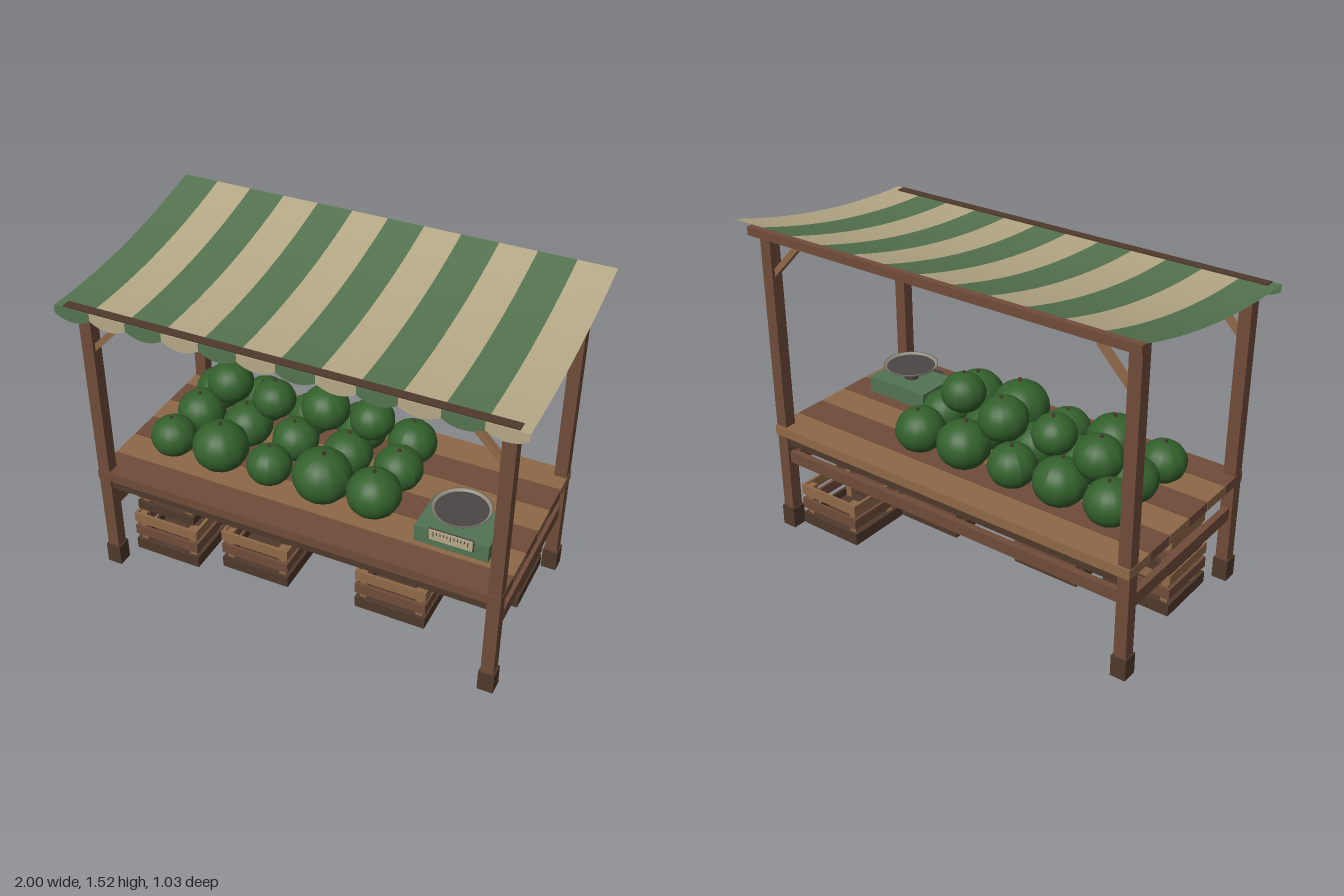
import * as THREE from 'three';

const mat = (name, color, side = THREE.FrontSide) => {
  const m = new THREE.MeshStandardMaterial({ color, side });
  m.name = name;
  return m;
};

export function createModel() {
  const wood = mat('wood', 0x704c39);
  const lightWood = mat('lightWood', 0x8f6847);
  const darkWood = mat('darkWood', 0x4f392c);
  const canvasGreen = mat('canvasGreen', 0x54734f, THREE.DoubleSide);
  const canvasCream = mat('canvasCream', 0xb5a886, THREE.DoubleSide);
  const rind = mat('rind', 0x33602c);
  const scaleGreen = mat('scaleGreen', 0x527353);
  const metal = mat('metal', 0x8f897c, THREE.DoubleSide);
  const darkMetal = mat('darkMetal', 0x4b4646);

  const model = new THREE.Group();
  model.name = 'marketStall';
  const add = (name, geo, material, x = 0, y = 0, z = 0, parent = model) => {
    const m = new THREE.Mesh(geo, material);
    m.name = name;
    m.position.set(x, y, z);
    parent.add(m);
    return m;
  };
  // Box given by its size, bottom height and centre in x and z
  const box = (name, material, w, h, d, x, y, z, parent) =>
    add(name, new THREE.BoxGeometry(w, h, d), material, x, y + h / 2, z, parent);

  // Posts, feet, braces and side rails
  for (const s of [-1, 1]) {
    for (const [z, top] of [[0.42, 1.355], [-0.415, 1.46]]) {
      box('post', wood, 0.056, top, 0.056, s * 0.91, 0, z);
      box('foot', darkWood, 0.07, 0.1, 0.07, s * 0.91, 0, z);
      const brace = add('brace', new THREE.BoxGeometry(0.026, 0.21, 0.026), lightWood, s * 0.82, top - 0.118, z);
      brace.rotation.z = -s * -0.77;
    }
    box('sideRail', wood, 0.03, 0.06, 0.79, s * 0.91, 0.31, 0);
  }

  // Long beams, aprons and back rail
  box('frontBeam', darkWood, 1.92, 0.038, 0.042, 0, 1.352, 0.484);
  box('backBeam', wood, 1.92, 0.038, 0.042, 0, 1.449, -0.468);
  box('frontApron', darkWood, 1.77, 0.05, 0.03, 0, 0.436, 0.42);
  box('backApron', darkWood, 1.77, 0.05, 0.03, 0, 0.436, -0.415);
  box('backRail', wood, 1.77, 0.055, 0.03, 0, 0.345, -0.415);

  // Counter planks
  for (let i = 0; i < 6; i++) {
    box('counterPlank', i % 2 ? lightWood : wood, 1.88, 0.045, 0.147, 0, 0.485, 0.379 - i * 0.1516);
  }

  // Sagging striped canopy with a scalloped valance
  const stripe = 1 / 6;
  for (let i = 0; i < 12; i++) {
    const material = i % 2 ? canvasCream : canvasGreen;
    const x = -1 + (i + 0.5) * stripe;
    const sheet = new THREE.PlaneGeometry(stripe, 1.03, 1, 14);
    sheet.rotateX(-Math.PI / 2);
    const p = sheet.attributes.position;
    for (let k = 0; k < p.count; k++) {
      const t = p.getZ(k) / 1.03 + 0.5;
      p.setY(k, 1.52 - 0.135 * t - 0.16 * t * (1 - t));
    }
    sheet.computeVertexNormals();
    add('canopyStripe', sheet, material, x, 0, -0.005);

    const flap = new THREE.Shape();
    flap.moveTo(-stripe / 2, 0);
    flap.lineTo(-stripe / 2, -0.035);
    flap.quadraticCurveTo(0, -0.087, stripe / 2, -0.035);
    flap.lineTo(stripe / 2, 0);
    add('valanceFlap', new THREE.ShapeGeometry(flap, 10), material, x, 1.385, 0.51);
  }

  // Slatted crates, open at the top
  const crate = (x, y, z, w, d, h) => {
    const g = new THREE.Group();
    g.name = 'crate';
    g.position.set(x, y, z);
    model.add(g);
    const t = 0.014;
    box('crateFloor', darkWood, w - 0.004, 0.02 * h, d - 0.004, 0, 0, 0, g);
    [[0.008, darkWood], [0.087, wood], [0.16, lightWood]].forEach(([b, m]) => {
      for (const s of [-1, 1]) {
        box('crateSlat', m, w, 0.05 * h, t, 0, b * h, s * (d - t) / 2, g);
        box('crateSlat', m, t, 0.05 * h, d - 2 * t, s * (w - t) / 2, b * h, 0, g);
      }
    });
    for (const sx of [-1, 1]) for (const sz of [-1, 1]) {
      box('crateCorner', lightWood, 0.034, 0.2 * h, 0.034, sx * (w / 2 - 0.034), 0.005, sz * (d / 2 - 0.034), g);
    }
  };
  crate(-0.705, 0, 0.165, 0.33, 0.31, 1);
  crate(-0.72, 0.212, 0.145, 0.295, 0.28, 0.8);
  crate(-0.277, 0, 0.105, 0.335, 0.31, 1);
  crate(0.38, 0, 0.085, 0.335, 0.3, 1);
  crate(0.705, 0, -0.228, 0.33, 0.32, 1);

  // Ribbed melons: three rows on the counter and one row on top
  const melonGeo = new THREE.SphereGeometry(1, 40, 20);
  const mp = melonGeo.attributes.position;
  for (let k = 0; k < mp.count; k++) {
    const a = Math.atan2(mp.getZ(k), mp.getX(k));
    const f = 1 + 0.012 * Math.cos(a * 10);
    mp.setXYZ(k, mp.getX(k) * f, mp.getY(k) * 0.91, mp.getZ(k) * f);
  }
  melonGeo.computeVertexNormals();
  const stemGeo = new THREE.CylinderGeometry(0.05, 0.08, 0.16, 6);
  const melon = (x, y, z, r, turn) => {
    const g = new THREE.Group();
    g.name = 'melon';
    g.position.set(x, y, z);
    g.scale.setScalar(r);
    g.rotation.set(0.06 * Math.sin(turn * 3), turn, 0.08 * Math.cos(turn * 2));
    model.add(g);
    add('melonRind', melonGeo, rind, 0, 0, 0, g);
    add('melonStem', stemGeo, darkWood, 0, 0.95, 0, g);
  };
  const xs = [-0.7, -0.46, -0.22, 0.035, 0.275];
  const rows = [
    [0.19, 0, [0.102, 0.124, 0.1, 0.13, 0.118]],
    [-0.02, 0.02, [0.11, 0.112, 0.105, 0.11, 0.108]],
    [-0.22, 0, [0.108, 0.115, 0.105, 0.118, 0.11]],
  ];
  rows.forEach(([z, dx, radii], r) => radii.forEach((rad, i) =>
    melon(xs[i] + dx, 0.53 + 0.91 * rad, z, rad, r * 5 + i)));
  [[-0.585, 0.75, -0.13, 0.105], [-0.34, 0.755, -0.09, 0.097], [-0.1, 0.762, -0.12, 0.109], [0.14, 0.797, -0.085, 0.098]]
    .forEach(([x, y, z, r], i) => melon(x, y, z, r, i * 1.7));

  // Weighing scale
  const scale = new THREE.Group();
  scale.name = 'weighingScale';
  scale.position.set(0.657, 0.53, 0.167);
  model.add(scale);
  box('scaleBase', scaleGreen, 0.325, 0.078, 0.22, 0, 0, 0, scale);
  box('scaleDial', canvasCream, 0.19, 0.05, 0.008, 0, 0.038, 0.114, scale);
  box('dialFrame', darkMetal, 0.2, 0.058, 0.004, 0, 0.034, 0.111, scale);
  for (let i = 0; i < 11; i++) {
    const h = i % 5 ? 0.014 : 0.024;
    box('dialTick', darkMetal, 0.004, h, 0.002, -0.075 + i * 0.015, 0.08 - h, 0.118, scale);
  }
  add('scaleNeck', new THREE.CylinderGeometry(0.034, 0.034, 0.056, 20), darkMetal, 0, 0.104, 0, scale);
  const profile = [[0, 0.126], [0.09, 0.126], [0.12, 0.14], [0.128, 0.15], [0.122, 0.15], [0.112, 0.142]];
  add('scalePan', new THREE.LatheGeometry(profile.map(([a, b]) => new THREE.Vector2(a, b)), 32), metal, 0, 0, 0, scale);
  add('panPlate', new THREE.CylinderGeometry(0.114, 0.1, 0.008, 32), darkMetal, 0, 0.138, 0, scale);

  return model;
}
